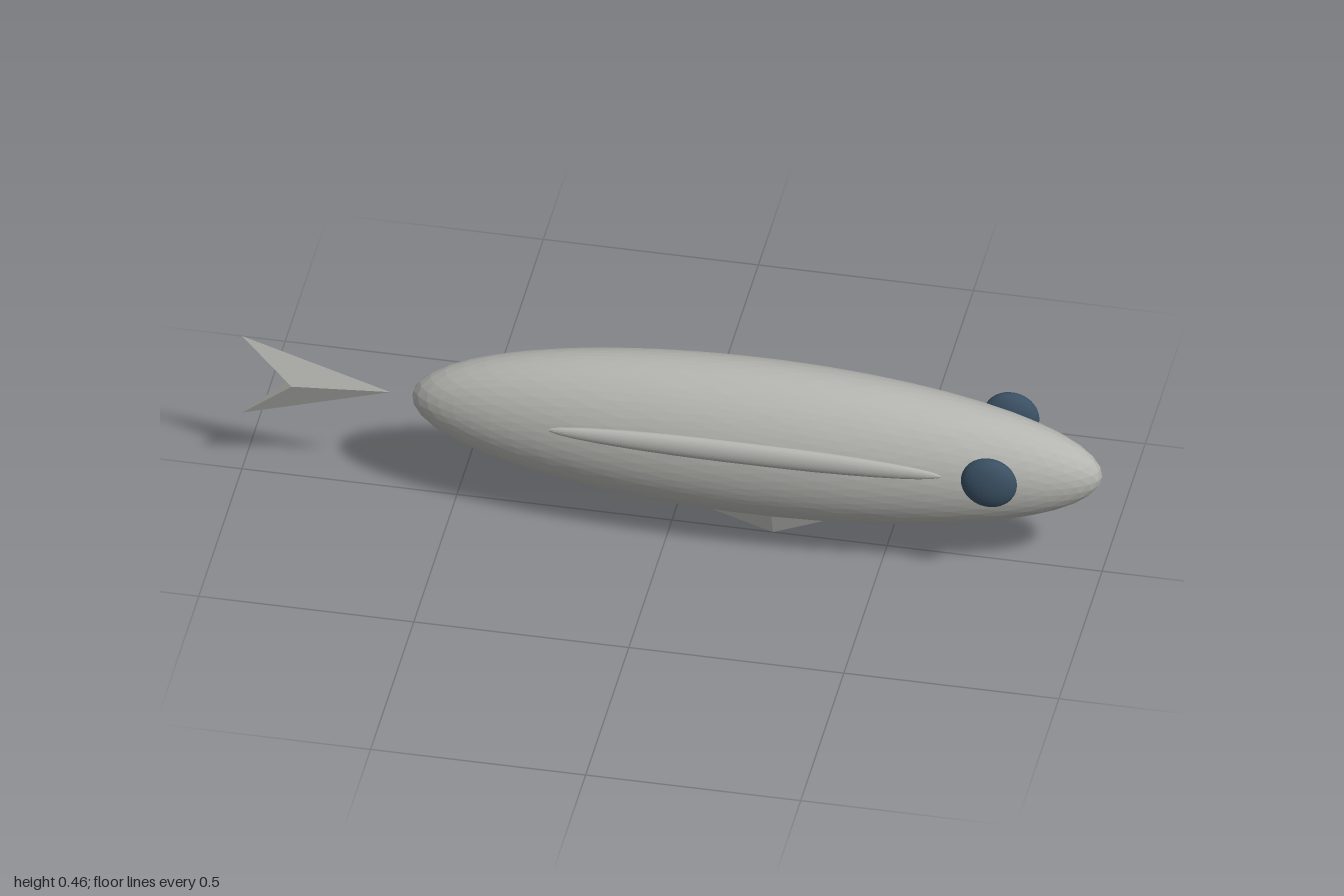
import * as THREE from 'three';

const skin = new THREE.MeshStandardMaterial({ color: 0xb4b4b0, flatShading: true });
skin.name = 'grey skin';
const slate = new THREE.MeshStandardMaterial({ color: 0x3a5063, flatShading: true });
slate.name = 'slate eye';

// Faceted ball stretched to three radii
function ellipsoid(name, material, detail, radii, position) {
  const geometry = new THREE.IcosahedronGeometry(1, detail).scale(...radii);
  const mesh = new THREE.Mesh(geometry, material);
  mesh.name = name;
  mesh.position.set(...position);
  return mesh;
}

// Small faceted solid from corner points and triangles
function solid(name, corners, faces) {
  let geometry = new THREE.BufferGeometry();
  geometry.setAttribute('position', new THREE.Float32BufferAttribute(corners.flat(), 3));
  geometry.setIndex(faces.flat());
  geometry = geometry.toNonIndexed();
  geometry.computeVertexNormals();
  const mesh = new THREE.Mesh(geometry, skin);
  mesh.name = name;
  return mesh;
}

export function createModel() {
  const model = new THREE.Group();
  model.name = 'fish';

  model.add(ellipsoid('body', skin, 9, [0.802, 0.194, 0.149], [0.198, 0.267, 0]));

  // Long slim fin along one flank only
  model.add(ellipsoid('sideFin', skin, 6, [0.458, 0.029, 0.018], [0.196, 0.316, 0.137]));

  for (const side of [1, -1]) {
    const name = side > 0 ? 'frontEye' : 'backEye';
    model.add(ellipsoid(name, slate, 6, [0.065, 0.065, 0.03], [0.763, 0.31, 0.13 * side]));
  }

  // Swept tail: point, upper tip, lower tip, and a ridge on each side
  model.add(solid('tailFin',
    [[-0.655, 0.267, 0], [-1, 0.376, 0], [-1, 0.159, 0], [-0.88, 0.267, 0.024], [-0.88, 0.267, -0.024]],
    [[0, 1, 3], [0, 3, 2], [0, 4, 1], [0, 2, 4], [1, 4, 3], [2, 3, 4]]));

  // Belly fin: four-sided point whose base sits inside the body
  model.add(solid('bellyFin',
    [[0.235, 0, 0], [-0.1, 0.105, 0], [0.235, 0.105, 0.035], [0.49, 0.105, 0], [0.235, 0.105, -0.035]],
    [[0, 2, 1], [0, 3, 2], [0, 4, 3], [0, 1, 4], [1, 2, 3], [1, 3, 4]]));

  return model;
}
